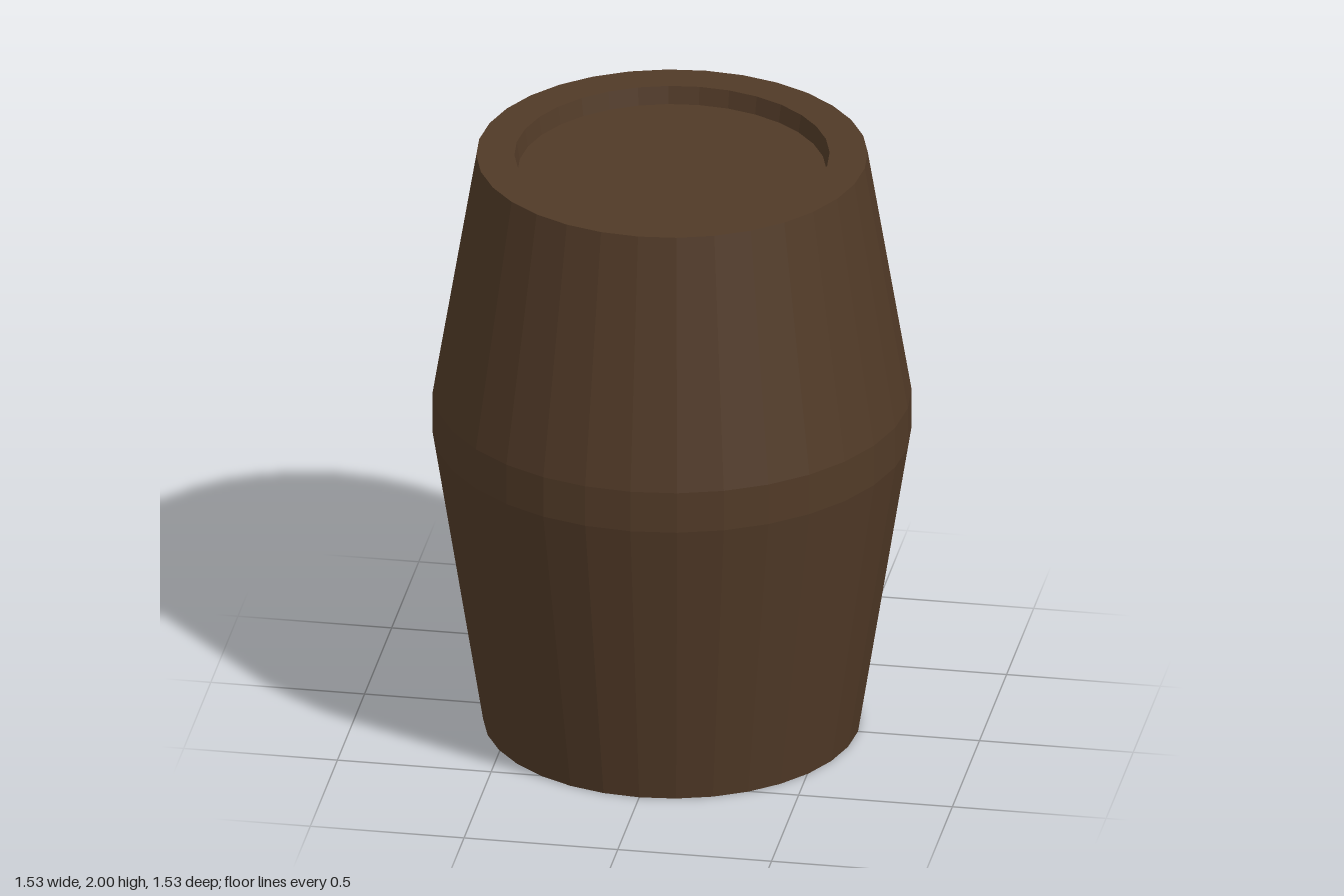
import * as THREE from 'three';

const SIDES = 32;

export function createModel() {
  const barrel = new THREE.Group();
  barrel.name = 'barrel';
  const darkWood = new THREE.MeshStandardMaterial({ color: 0x513a27 });
  darkWood.name = 'darkWood';

  // Faceted ring surface; profile points [radius, y] run with the outside on their right
  const addRing = (name, profile) => {
    const points = profile.map(([r, y]) => new THREE.Vector2(r, y));
    const geometry = new THREE.LatheGeometry(points, SIDES).toNonIndexed();
    geometry.computeVertexNormals(); // flat facets
    const mesh = new THREE.Mesh(geometry, darkWood);
    mesh.name = name;
    barrel.add(mesh);
  };

  // Bulging wall with its straight middle band
  addRing('wall', [[0.605, 0], [0.767, 1.02], [0.767, 1.16], [0.627, 2]]);

  // Flat rims and the slightly tapered lips inside them
  addRing('bottomRim', [[0.48, 0.075], [0.503, 0], [0.605, 0]]);
  addRing('topRim', [[0.627, 2], [0.505, 2], [0.495, 1.94]]);

  // Recessed heads closing both ends
  addRing('bottomHead', [[0, 0.075], [0.48, 0.075]]);
  addRing('topHead', [[0.495, 1.94], [0, 1.94]]);

  return barrel;
}
